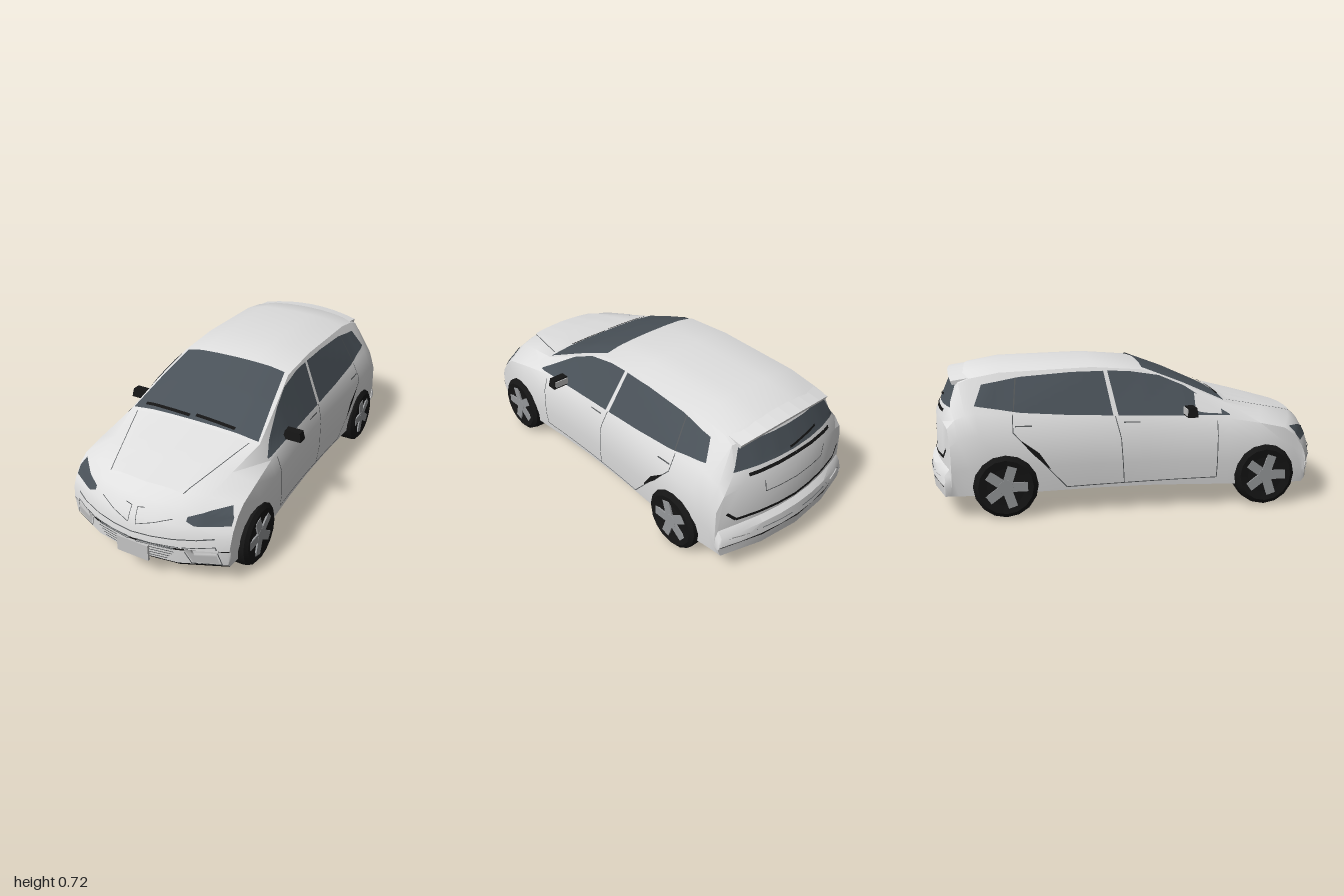
import * as THREE from 'three';
import { toCreasedNormals } from 'three/addons/utils/BufferGeometryUtils.js';

const mat = (name, color) => {
  const m = new THREE.MeshStandardMaterial({ color, side: THREE.DoubleSide });
  m.name = name;
  return m;
};
const lerp = THREE.MathUtils.lerp;
const smooth = THREE.MathUtils.smoothstep;

// Cross-sections, nose to tail: z, bottom y, shoulder x, shoulder y, roof edge y, centre y
const STATIONS = [
  [0.998, 0.195, 0.43, 0.2, 0.203, 0.205],
  [0.992, 0.12, 0.435, 0.25, 0.26, 0.27],
  [0.975, 0.1, 0.435, 0.29, 0.305, 0.315],
  [0.93, 0.1, 0.435, 0.35, 0.378, 0.39],
  [0.88, 0.1, 0.435, 0.385, 0.418, 0.427],
  [0.7, 0.1, 0.43, 0.412, 0.458, 0.475],
  [0.46, 0.11, 0.42, 0.44, 0.51, 0.53],
  [0.25, 0.115, 0.41, 0.455, 0.6, 0.625],
  [0.05, 0.12, 0.405, 0.465, 0.675, 0.7],
  [-0.2, 0.12, 0.405, 0.472, 0.692, 0.72],
  [-0.65, 0.115, 0.405, 0.49, 0.675, 0.71],
  [-0.82, 0.11, 0.405, 0.5, 0.65, 0.68],
  [-0.88, 0.11, 0.405, 0.49, 0.63, 0.645],
  [-0.93, 0.11, 0.4, 0.47, 0.52, 0.53],
  [-0.965, 0.11, 0.4, 0.43, 0.455, 0.465],
  [-0.968, 0.11, 0.42, 0.24, 0.25, 0.255],
  [-0.992, 0.11, 0.42, 0.21, 0.22, 0.23],
  [-0.999, 0.16, 0.415, 0.165, 0.168, 0.17],
];

// Half profile mirrored to a closed ring, bent back at nose and tail
function ring([z, yb, xs, ys, yr, yt]) {
  const far = Math.abs(z);
  const w = 0.437 + 0.018 * smooth(far, 0.1, 0.6) - 0.02 * smooth(far, 0.75, 1);
  const xr = 0.3 + 0.06 * (smooth(z, 0, 0.46) - smooth(z, 0.46, 0.9)) + 0.03 * smooth(-z, 0.85, 0.93);
  const half = [
    [0, yb], [w * 0.5, yb], [w * 0.97, yb], [w, lerp(yb, ys, 0.35)], [w * 0.99, lerp(yb, ys, 0.75)],
    [xs, ys], [xr, yr], [xr * 0.66, lerp(yr, yt, 0.75)], [xr * 0.33, lerp(yr, yt, 0.95)], [0, yt],
  ];
  const bend = 0.14 * smooth(z, 0.45, 0.9) - 0.09 * smooth(-z, 0.6, 0.9);
  return [...half, ...half.slice(1, -1).reverse().map(([x, y]) => [-x, y])]
    .map(([x, y]) => [x, y, z - bend * (x / 0.45) ** 2]);
}

// Skin between the rings: either the black underside or the painted rest
function shell(wantUnderside) {
  const rings = STATIONS.map(ring), n = rings[0].length, index = [];
  for (let i = 0; i < rings.length - 1; i++) {
    for (let j = 0; j < n; j++) {
      const underside = (j < 2 || j >= n - 2) && i > 0 && i < rings.length - 2;
      if (underside !== wantUnderside) continue;
      const k = (j + 1) % n, a = i * n + j, b = i * n + k;
      index.push(a, a + n, b, b, a + n, b + n);
    }
  }
  const g = new THREE.BufferGeometry();
  g.setAttribute('position', new THREE.Float32BufferAttribute(rings.flat(2), 3));
  g.setIndex(index);
  return toCreasedNormals(g, 0.6);
}

export function createModel() {
  const paint = mat('body paint', 0xe0e0e0);
  const glass = mat('dark glass', 0x4a5259);
  const black = mat('black rubber', 0x151515);
  const metal = mat('wheel metal', 0x96989a);
  const grey = mat('light grey', 0xc4c4c4);
  const seam = mat('seam grey', 0x55585a);

  const car = new THREE.Group();
  car.name = 'car';
  const add = (name, geometry, material, parent = car) => {
    const m = new THREE.Mesh(geometry, material);
    m.name = name;
    parent.add(m);
    return m;
  };
  const body = add('body', shell(false), paint);
  add('underbody', shell(true), black);

  // Lay a flat (u, v) point on the bodywork, seen from one direction
  const views = {
    side: (u, v) => [[2, v, u], [-1, 0, 0]],
    front: (u, v) => [[u, v, 2], [0, 0, -1]],
    back: (u, v) => [[u, v, -2], [0, 0, 1]],
    top: (u, v) => [[u, 2, v], [0, -1, 0]],
  };
  const caster = new THREE.Raycaster();
  let depth = 1.1;
  function project(view, u, v, off) {
    const [o, d] = views[view](u, v).map((p) => new THREE.Vector3(...p));
    caster.set(o, d);
    const hit = caster.intersectObject(body)[0];
    if (hit) depth = hit.distance;
    return o.addScaledVector(d, depth).addScaledVector(hit ? hit.face.normal : d.negate(), off);
  }
  const along = (path, t) => {
    const f = t * (path.length - 1), i = Math.min(Math.floor(f), path.length - 2);
    return [0, 1].map((k) => lerp(path[i][k], path[i + 1][k], f - i));
  };

  // Thin panel spanned between two polylines, on both sides if wanted
  function patch(name, material, view, A, B, { both = view === 'side', off = 0.005, n = 24, m = 6 } = {}) {
    const pts = [], index = [];
    for (let i = 0; i <= n; i++) {
      const a = along(A, i / n), b = along(B, i / n);
      for (let j = 0; j <= m; j++) {
        pts.push(project(view, lerp(a[0], b[0], j / m), lerp(a[1], b[1], j / m), off));
        const q = i * (m + 1) + j;
        if (i < n && j < m) index.push(q, q + 1, q + m + 1, q + 1, q + m + 2, q + m + 1);
      }
    }
    for (const s of both ? [1, -1] : [1]) {
      const g = new THREE.BufferGeometry();
      g.setAttribute('position', new THREE.Float32BufferAttribute(pts.flatMap((p) => [p.x * s, p.y, p.z]), 3));
      g.setIndex(index);
      g.computeVertexNormals();
      add(name, g, material);
    }
  }
  // Narrow line of even width along a path
  function line(name, material, view, path, w = 0.004, opt = {}) {
    for (let i = 0; i < path.length - 1; i++) {
      const [a, b] = [path[i], path[i + 1]];
      const l = Math.hypot(b[0] - a[0], b[1] - a[1]);
      const nx = -(b[1] - a[1]) / l * w / 2, ny = (b[0] - a[0]) / l * w / 2;
      const shift = (s) => [a, b].map(([x, y]) => [x + s * nx, y + s * ny]);
      patch(name, material, view, shift(1), shift(-1), { n: 12, m: 1, off: 0.004, ...opt });
    }
  }
  const pair = { both: true };

  // Windows
  patch('windscreen', glass, 'top', [[-0.28, 0.05], [0.28, 0.05]], [[-0.35, 0.455], [0.35, 0.455]], { m: 16 });
  patch('rearWindow', glass, 'back', [[-0.28, 0.63], [0.28, 0.63]], [[-0.335, 0.52], [0.335, 0.52]], { m: 10 });
  patch('frontSideWindow', glass, 'side', [[0.47, 0.455], [0.25, 0.595], [0.13, 0.645], [-0.02, 0.668], [-0.125, 0.672]],
    [[0.47, 0.45], [-0.085, 0.468]]);
  patch('rearSideWindow', glass, 'side', [[-0.145, 0.672], [-0.3, 0.67], [-0.55, 0.653], [-0.73, 0.622]],
    [[-0.11, 0.469], [-0.32, 0.478], [-0.55, 0.495], [-0.765, 0.53]]);
  line('windowDivider', seam, 'side', [[-0.57, 0.65], [-0.585, 0.5]], 0.006, { off: 0.007 });

  // Wipers
  line('frontWiper', black, 'top', [[-0.29, 0.43], [-0.03, 0.44]], 0.016, { off: 0.012 });
  line('frontWiper', black, 'top', [[0, 0.43], [0.22, 0.44]], 0.016, { off: 0.012 });
  line('rearWiper', black, 'back', [[-0.16, 0.555], [0.03, 0.535]], 0.01, { off: 0.01 });

  // Bonnet panel and nose creases
  patch('bonnetPanel', paint, 'top', [[-0.31, 0.48], [0.31, 0.48]], [[-0.19, 0.86], [0, 0.875], [0.19, 0.86]], { m: 14, off: 0.008 });
  line('bonnetSeam', seam, 'top', [[0.315, 0.48], [0.195, 0.86]], 0.004, pair);
  line('noseCrease', seam, 'front', [[0.19, 0.335], [0.02, 0.28], [0.015, 0.35], [0.05, 0.355]], 0.003, pair);
  line('bumperCrease', seam, 'front', [[0.37, 0.262], [0.2, 0.25], [0, 0.24]], 0.005, pair);

  // Headlights, grille, fog lamps and plate
  patch('headlight', glass, 'front', [[0.245, 0.348], [0.32, 0.372], [0.4, 0.383], [0.422, 0.345]],
    [[0.245, 0.33], [0.28, 0.315], [0.35, 0.313], [0.422, 0.313]], pair);
  for (let i = 0; i < 6; i++) {
    const y = 0.133 + i * 0.015;
    line('grilleSlat', seam, 'front', [[0.02, y], [0.17 + i * 0.011, y + 0.004]], 0.004, pair);
  }
  patch('fogLamp', grey, 'front', [[0.25, 0.205], [0.37, 0.215]], [[0.28, 0.135], [0.39, 0.13]], pair);
  line('fogLampFrame', seam, 'front', [[0.24, 0.212], [0.375, 0.222], [0.4, 0.125], [0.275, 0.128], [0.24, 0.212]], 0.004, pair);
  add('numberPlate', new THREE.BoxGeometry(0.17, 0.082, 0.012), grey).position.set(0, 0.145, 0.994);

  // Doors, handles and rear slash
  line('frontDoorSeam', seam, 'side', [[0.405, 0.43], [0.4, 0.15], [-0.34, 0.135]]);
  line('middleDoorSeam', seam, 'side', [[-0.1, 0.465], [-0.075, 0.36], [-0.06, 0.14]]);
  line('rearDoorSeam', seam, 'side', [[-0.59, 0.49], [-0.59, 0.41], [-0.46, 0.27], [-0.34, 0.135]]);
  for (const z of [0.02, -0.5]) line('doorHandle', seam, 'side', [[z, 0.435], [z - 0.08, 0.437]], 0.006);
  patch('doorSlash', black, 'side', [[-0.42, 0.235], [-0.47, 0.31], [-0.55, 0.37]], [[-0.42, 0.23], [-0.5, 0.305], [-0.55, 0.365]]);

  // Tail trim
  line('tailgateTrim', black, 'back', [[0.27, 0.495], [0, 0.5]], 0.014, pair);
  line('plateRecess', seam, 'back', [[0.2, 0.45], [0.19, 0.385], [0, 0.38]], 0.004, pair);
  line('rearBumperBand', black, 'back', [[0.385, 0.33], [0.34, 0.285], [0, 0.275]], 0.014, pair);

  // Spoiler, drooping and sweeping forward towards its ends
  const section = [[0.74, 0.692], [0.9, 0.668], [0.893, 0.65], [0.78, 0.66]].map((p) => new THREE.Vector2(...p));
  const spoiler = new THREE.ExtrudeGeometry(new THREE.Shape(section), { depth: 0.58, steps: 8, bevelEnabled: false });
  spoiler.translate(0, 0, -0.29).rotateY(Math.PI / 2);
  const sp = spoiler.attributes.position;
  for (let i = 0; i < sp.count; i++) {
    const x2 = sp.getX(i) ** 2;
    sp.setY(i, sp.getY(i) - 0.35 * x2);
    sp.setZ(i, sp.getZ(i) + 0.3 * x2);
  }
  spoiler.computeVertexNormals();
  add('spoiler', spoiler, paint);

  // Mirrors and wheels on both sides
  const tyreProfile = [[0.09, 0.05], [0.13, 0.056], [0.15, 0.042], [0.155, 0.02], [0.155, -0.03], [0.14, -0.055], [0.01, -0.055]];
  const tyre = toCreasedNormals(new THREE.LatheGeometry(tyreProfile.map((p) => new THREE.Vector2(...p)), 16), 0.5);
  for (const s of [1, -1]) {
    const mirror = new THREE.Group();
    mirror.name = 'wingMirror';
    mirror.position.set(s * 0.442, 0.485, 0.265);
    const housing = new THREE.CylinderGeometry(0.042, 0.052, 0.045, 4, 1).rotateY(Math.PI / 4).scale(1.3, 1, 0.7);
    add('mirrorHousing', toCreasedNormals(housing, 0.4), black, mirror);
    add('mirrorGlass', new THREE.BoxGeometry(0.075, 0.033, 0.005), grey, mirror).position.z = -0.025;
    add('mirrorStalk', new THREE.BoxGeometry(0.05, 0.015, 0.025), black, mirror).position.set(-s * 0.035, -0.02, 0);
    car.add(mirror);

    for (const z of [0.645, -0.63]) {
      const wheel = new THREE.Group();
      wheel.name = 'wheel';
      wheel.position.set(s * 0.416, 0.155, z);
      wheel.rotation.z = -s * Math.PI / 2;
      add('tyre', tyre, black, wheel);
      add('rimBack', new THREE.CylinderGeometry(0.1, 0.1, 0.01, 16), black, wheel).position.y = 0.042;
      add('hub', new THREE.CylinderGeometry(0.035, 0.04, 0.012, 10), metal, wheel).position.y = 0.05;
      for (let i = 0; i < 5; i++) {
        const spoke = new THREE.BoxGeometry(0.045, 0.01, 0.085).translate(0, 0.05, 0.06).rotateY(i * Math.PI * 0.4);
        add('spoke', spoke, metal, wheel);
      }
      car.add(wheel);
    }
  }
  return car;
}
